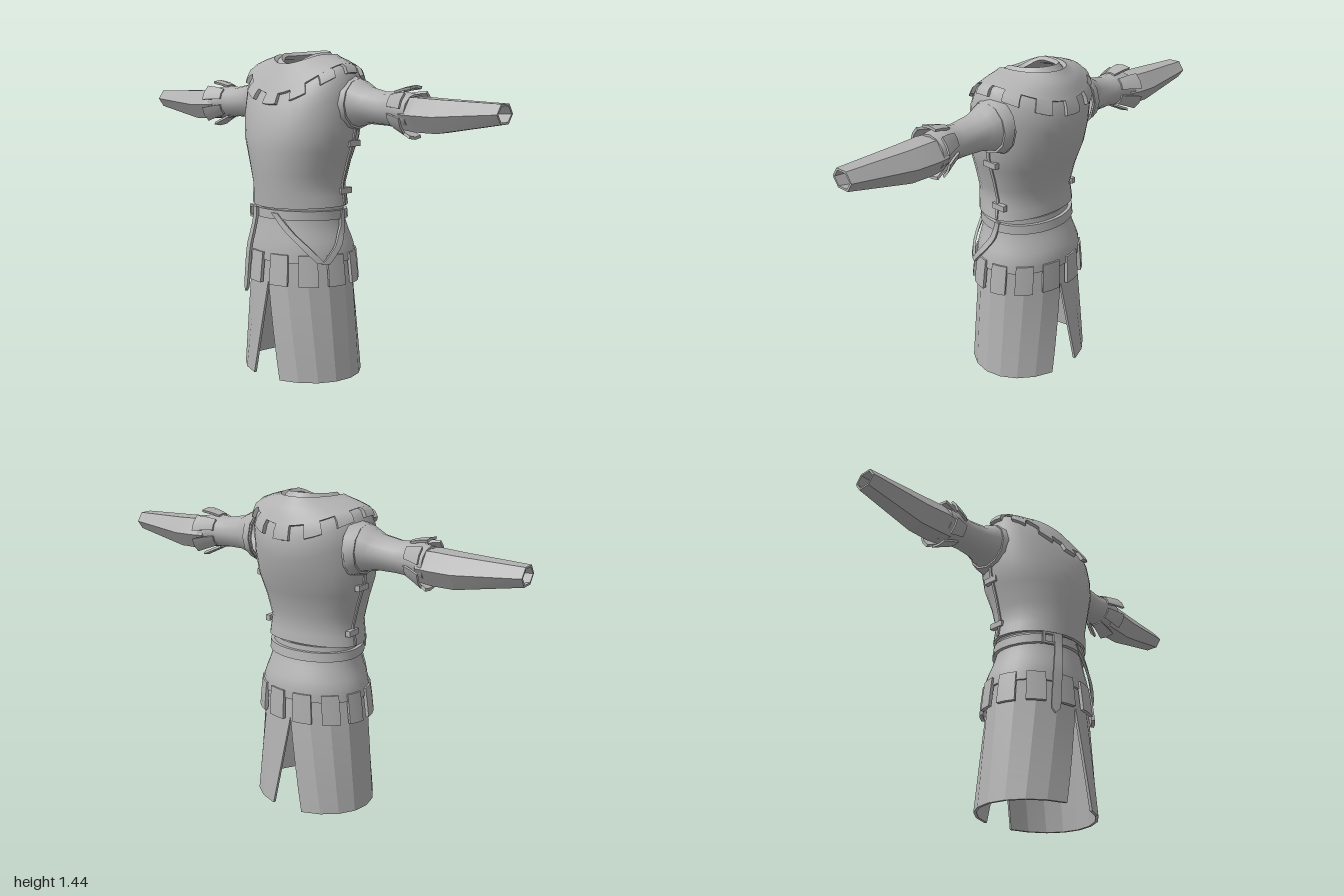
import * as THREE from 'three';
import { toCreasedNormals } from 'three/addons/utils/BufferGeometryUtils.js';

const cloth = new THREE.MeshStandardMaterial({ color: 0xb2b2b2, side: THREE.DoubleSide });
cloth.name = 'grey cloth';
const { lerp } = THREE.MathUtils;
const TAU = Math.PI * 2;

// Linear lookup between the rows of a table; t is a fractional row number.
function sample(rows, t) {
  const i = Math.max(0, Math.min(rows.length - 2, Math.floor(t)));
  return rows[i].map((a, k) => lerp(a, rows[i + 1][k], t - i));
}

// Thick curved sheet: P(u, v, k) gives the outer (k = 0) and inner (k = 1) faces.
function slab(P, nu, nv, closed = false, crease = 0.7) {
  const pos = [], idx = [], w = nu + 1, n = w * (nv + 1);
  for (let k = 0; k < 2; k++)
    for (let j = 0; j <= nv; j++)
      for (let i = 0; i <= nu; i++) pos.push(...P(i / nu, j / nv, k));
  const quad = (a, b, c, d) => idx.push(a, b, c, a, c, d);
  for (let j = 0; j < nv; j++)
    for (let i = 0; i < nu; i++) {
      const a = j * w + i, b = a + 1, c = b + w, d = a + w;
      quad(a, d, c, b);
      quad(n + a, n + b, n + c, n + d);
    }
  for (let i = 0; i < nu; i++) {
    const e = nv * w + i;
    quad(i, i + 1, n + i + 1, n + i);
    quad(e + 1, e, n + e, n + e + 1);
  }
  if (!closed) for (let j = 0; j < nv; j++) {
    const a = j * w, b = a + nu;
    quad(a + w, a, n + a, n + a + w);
    quad(b, b + w, n + b + w, n + b);
  }
  const g = new THREE.BufferGeometry();
  g.setAttribute('position', new THREE.Float32BufferAttribute(pos, 3));
  g.setIndex(idx);
  return toCreasedNormals(g, crease);
}

// The same sheet on the other side of x = 0.
const mirror = P => (u, v, k) => {
  const [x, y, z] = P(1 - u, v, k);
  return [-x, y, z];
};

// Torso rows: half width, front z, back z, then height at front, side and back.
const TORSO = [
  [0.10, 0.09, -0.14, 1.385, 1.43, 1.44],
  [0.12, 0.11, -0.16, 1.37, 1.41, 1.41],
  [0.19, 0.15, -0.20, 1.31, 1.395, 1.365],
  [0.255, 0.195, -0.235, 1.23, 1.375, 1.29],
  [0.28, 0.215, -0.245, 1.185, 1.31, 1.21],
  [0.285, 0.235, -0.23, 1.12, 1.20, 1.13],
  [0.275, 0.247, -0.205, 1.05, 1.07, 1.05],
  [0.24, 0.245, -0.17, 0.96, 0.96, 0.96],
  [0.215, 0.235, -0.148, 0.86, 0.86, 0.86],
  [0.23, 0.225, -0.155, 0.765, 0.77, 0.78],
];
function torsoAt(phi, t, off) {
  const [rx, zf, zb, yf, ys, yb] = sample(TORSO, t);
  const s = Math.sin(phi), c = Math.cos(phi);
  const y = s * s * ys + c * c * (c > 0 ? yf : yb) + off * Math.max(0, 1 - t / 5);
  return [(rx + off) * s, y, (c > 0 ? zf + off : off - zb) * c];
}

// Hip rows: height, half width, front z, back z.
const HIP = [
  [0.77, 0.205, 0.205, -0.145], [0.72, 0.205, 0.205, -0.15],
  [0.66, 0.22, 0.215, -0.175], [0.60, 0.245, 0.225, -0.20],
  [0.55, 0.255, 0.23, -0.205], [0.43, 0.262, 0.235, -0.20],
  [0.30, 0.27, 0.24, -0.20],
];
function hipAt(phi, y, off) {
  let i = 0;
  while (i < HIP.length - 2 && HIP[i + 1][0] > y) i++;
  const f = (y - HIP[i][0]) / (HIP[i + 1][0] - HIP[i][0]);
  const [, rx, zf, zb] = sample(HIP, i + f);
  const c = Math.cos(phi);
  return [(rx + off) * Math.sin(phi), y, (c > 0 ? zf + off : off - zb) * c];
}

// Sleeve rows: x, centre y, centre z, radius in y, radius in z.
const SLEEVE = [
  [0.24, 1.215, -0.04, 0.125, 0.12], [0.30, 1.22, -0.04, 0.10, 0.098],
  [0.36, 1.21, -0.037, 0.078, 0.078], [0.45, 1.20, -0.03, 0.07, 0.07],
  [0.52, 1.20, -0.03, 0.076, 0.077], [0.59, 1.19, -0.035, 0.075, 0.085],
];
const FOREARM = [
  [0.56, 1.185, -0.035, 0.075, 0.085], [0.62, 1.183, -0.035, 0.08, 0.092],
  [0.72, 1.18, -0.037, 0.078, 0.085], [1.0, 1.2, -0.035, 0.045, 0.058],
];
function tubeAt(rows, a, t, off) {
  const [x, y, z, ry, rz] = sample(rows, t);
  return [x, y + (ry + off) * Math.cos(a), z - (rz + off) * Math.sin(a)];
}

export function createModel() {
  const model = new THREE.Group();
  const add = (name, geometry, parent = model) => {
    const m = new THREE.Mesh(geometry, cloth);
    m.name = name;
    parent.add(m);
    return m;
  };
  const both = (name, P, ...rest) => {
    add('left' + name, slab(P, ...rest));
    add('right' + name, slab(mirror(P), ...rest));
  };
  const group = name => {
    const g = new THREE.Group();
    g.name = name;
    model.add(g);
    return g;
  };

  // Tunic body
  add('tunicBody', slab((u, v, k) => torsoAt(u * TAU, v * 9, -0.014 * k), 32, 18, true, 0.9));

  // Shoulder cape with square tabs
  const cape = group('shoulderCape');
  add('capeYoke', slab((u, v, k) => torsoAt(u * TAU, lerp(0.9, 2.75, v), 0.014 - 0.02 * k), 48, 6, true, 0.9), cape);
  for (let i = 0; i < 12; i++)
    add('capeTab', slab((u, v, k) =>
      torsoAt((i + (u - 0.5) * 0.52) * TAU / 12, lerp(2.7, 3.5, v), 0.014 + 0.004 * v - 0.016 * k), 2, 2), cape);

  // Side seams and toggles
  both('SideSeam', (u, v, k) => torsoAt(1.67 + u * 0.07, lerp(5.6, 8.95, v), 0.006 - 0.01 * k), 1, 10);
  for (const s of [-1, 1])
    for (const [x, y] of [[0.264, 1.045], [0.219, 0.835]])
      add('sideToggle', new THREE.BoxGeometry(0.022, 0.026, 0.07)).position.set(s * x, y, -0.033);

  // Sleeves with tabbed cuffs, and faceted forearms
  both('UpperSleeve', (u, v, k) => tubeAt(SLEEVE, u * TAU, v * 5, -0.01 * k), 12, 10, true, 0.7);
  both('Forearm', (u, v, k) => tubeAt(FOREARM, (u + 1 / 12) * TAU, v * 3, -0.01 * k), 6, 3, true, 0.15);
  for (let i = 0; i < 6; i++)
    both('CuffTab', (u, v, k) =>
      tubeAt(SLEEVE, (i + (u - 0.5) * 0.66) * TAU / 6, lerp(3.75, 5, v), 0.006 + 0.03 * v - 0.012 * k), 2, 2);

  // Armhole rims
  both('ArmholeRim', (u, v, k) => {
    const a = u * TAU, r = lerp(0.122, 0.108, v) - 0.02 * k;
    return [lerp(0.25, 0.292, v), 1.215 + r * Math.cos(a), -0.04 - r * Math.sin(a)];
  }, 12, 1, true, 0.7);

  // Hip skirt with square tabs
  add('hipSkirt', slab((u, v, k) => hipAt(u * TAU, lerp(0.77, 0.53, v), -0.01 * k), 32, 8, true, 0.9));
  const hem = group('hipTabs');
  for (let i = 0; i < 12; i++)
    add('hipTab', slab((u, v, k) =>
      hipAt((i + 0.5 + (u - 0.5) * 0.64) * TAU / 12, lerp(0.565, 0.43, v), 0.008 + 0.008 * v - 0.016 * k), 2, 2), hem);

  // Long lower skirt, split at front and back
  both('LowerSkirt', (u, v, k) => {
    const y = 0.55 * (1 - v), slit = 0.28 * Math.max(0, 1 - y / 0.44);
    const phi = lerp(slit, Math.PI - slit, u), c = Math.cos(phi), d = 0.012 * k;
    return [(lerp(0.242, 0.288, v) - d) * Math.sin(phi), y,
      (c > 0 ? lerp(0.22, 0.25, v) - d : lerp(0.185, 0.235, v) - d) * c];
  }, 8, 5, false, 0.15);

  // Belt, buckle and hanging end
  add('belt', slab((u, v, k) => {
    const p = hipAt(u * TAU, lerp(0.752, 0.712, v), 0.016 - 0.016 * k);
    p[1] += 0.005 * Math.cos(u * TAU);
    return p;
  }, 32, 1, true));
  const frame = new THREE.Shape([[-1, -1], [1, -1], [1, 1], [-1, 1]].map(([x, y]) => new THREE.Vector2(x * 0.03, y * 0.028)));
  frame.holes.push(new THREE.Path([[-1, -1], [-1, 1], [1, 1], [1, -1]].map(([x, y]) => new THREE.Vector2(x * 0.02, y * 0.018))));
  const buckle = add('buckle', new THREE.ExtrudeGeometry(frame, { depth: 0.012, bevelEnabled: false }));
  buckle.position.set(-0.125, 0.733, 0.185);
  buckle.rotation.y = -0.45;

  // Straps follow [angle, height] points down the hips
  const strap = (name, path, half, off, tip) => add(name, slab((u, v, k) => {
    const [phi, y] = sample(path, v * (path.length - 1));
    const w = tip && v > 0.9 ? half * (1 - v) * 10 : half;
    return hipAt(phi + (u - 0.5) * 2 * w, y, off - 0.012 * k);
  }, 2, 12));
  strap('beltEnd', [[-0.40, 0.76], [-0.43, 0.6], [-0.47, 0.45], [-0.49, 0.37]], 0.075, 0.03, true);
  strap('frontHanger', [[0.15, 0.745], [0.42, 0.68], [0.72, 0.61], [1.0, 0.535]], 0.07, 0.022);
  strap('rearHanger', [[1.68, 0.755], [1.58, 0.68], [1.38, 0.61], [1.08, 0.53]], 0.07, 0.022);
  return model;
}
